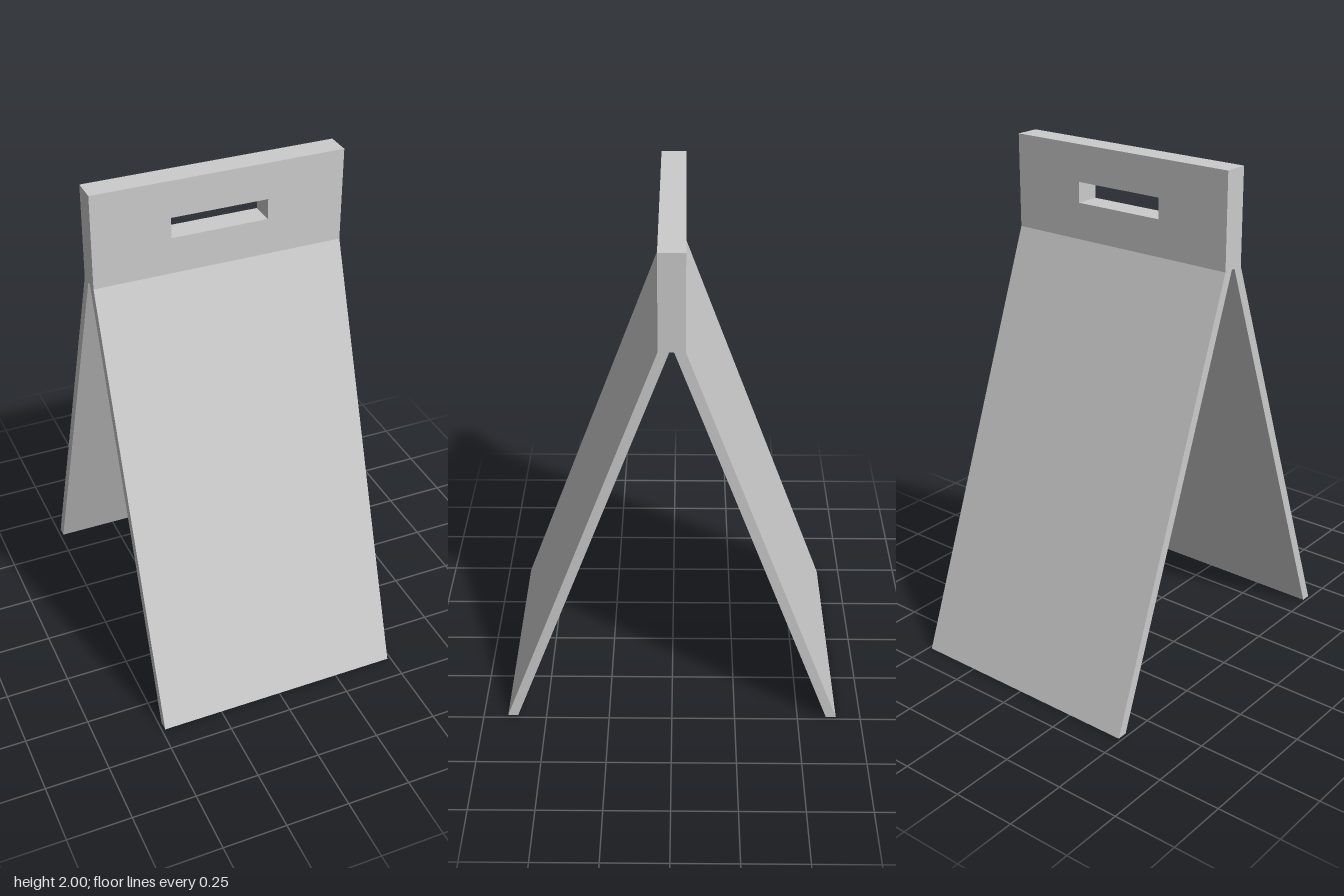
import * as THREE from 'three';

const WIDTH = 0.974;   // board width along x
const TOP = 2;
const FOLD = 1.635;    // height where the leaves spread apart
const HALF = 0.048;    // half thickness of the handle block
const FOOT = 0.654;    // outer reach of each leaf at the ground
const LEAF = 0.04;     // horizontal thickness of a leaf

const material = new THREE.MeshStandardMaterial({ color: 0xcccccc, flatShading: true });

function extrude(name, shape, depth) {
  const geometry = new THREE.ExtrudeGeometry(shape, { depth, bevelEnabled: false });
  geometry.translate(0, 0, -depth / 2);
  const mesh = new THREE.Mesh(geometry, material);
  mesh.name = name;
  return mesh;
}

function rectangle(Type, x, y0, y1) {
  return new Type([[-x, y0], [x, y0], [x, y1], [-x, y1]].map(p => new THREE.Vector2(...p)));
}

// Slanted panel: side profile in (z, y), extruded across the width
function createLeaf(name, side) {
  const profile = new THREE.Shape([
    [FOOT, 0], [HALF, FOLD], [HALF - LEAF, FOLD], [FOOT - LEAF, 0],
  ].map(([z, y]) => new THREE.Vector2(-side * z, y)));
  const leaf = extrude(name, profile, WIDTH);
  leaf.rotation.y = Math.PI / 2; // profile -x becomes +z
  return leaf;
}

export function createModel() {
  const group = new THREE.Group();
  group.name = 'foldingFloorSign';

  // Upright top block with a hand slot cut through it
  const block = rectangle(THREE.Shape, WIDTH / 2, FOLD, TOP);
  block.holes.push(rectangle(THREE.Path, 0.188, 1.777, 1.857));
  group.add(extrude('handleBlock', block, HALF * 2));

  // Front and back leaves
  group.add(createLeaf('frontLeaf', 1), createLeaf('backLeaf', -1));

  return group;
}
